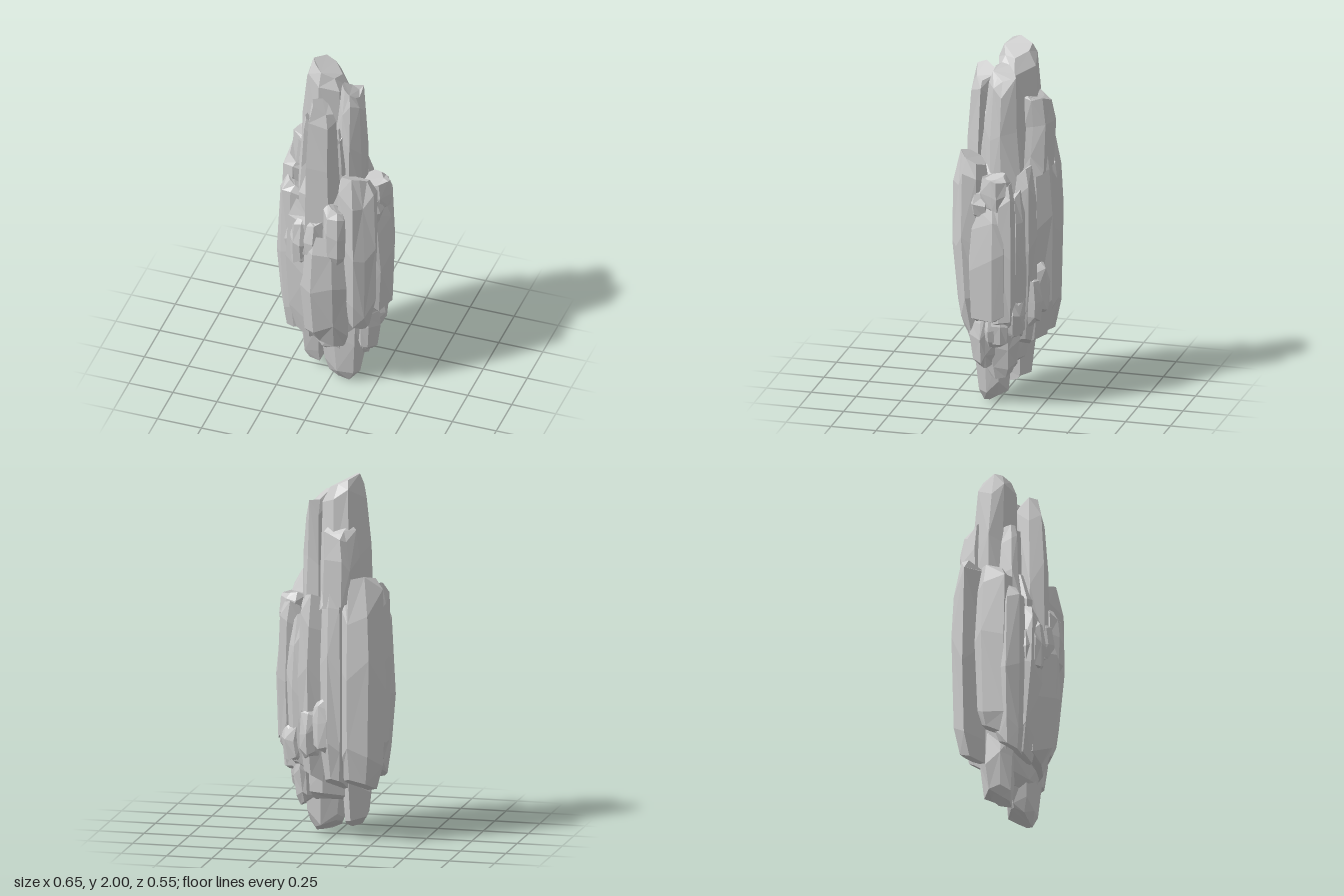
import * as THREE from 'three';

// Small seeded generator so the rock is the same every time
function seeded(seed) {
  let s = seed * 7919 + 17;
  return () => {
    s = (s * 16807) % 2147483647;
    return s / 2147483647;
  };
}

// Heights along a column, and how wide each kind of column is there
const STEPS = [0, 0.18, 0.55, 0.86, 1];
const TAPERS = {
  peak: [1.2, 1.12, 1, 0.86, 0.6],
  body: [0.72, 0.96, 1.02, 0.92, 0.66],
  foot: [0.55, 0.82, 1, 1.05, 0.95],
};

// Faceted rock column: uneven rings around (x, z) with slanted broken ends.
// kick moves the lower end along z.
function columnGeometry([x, z, rx, rz, y0, y1, kick = 0], taper, seed) {
  const rand = seeded(seed);
  for (let i = 0; i < 5; i++) rand();
  const spread = (a) => (rand() - 0.5) * 2 * a;
  const sides = 6 + (seed % 3);
  const last = STEPS.length - 1;
  const height = y1 - y0;
  const slant = Math.min(0.08, height * 0.15);
  const turn = rand() * Math.PI;
  const corners = Array.from({ length: sides }, (_, j) => ({
    a: turn + ((j + spread(0.3)) / sides) * Math.PI * 2,
    r: 1.03 + spread(0.11),
  }));
  // 0 at the chosen corner, 1 on the far side
  const fall = (a, from) => 0.5 - 0.5 * Math.cos(a - corners[from].a);
  const rings = STEPS.map((t, i) => {
    const lean = 1 - 0.35 * (t - 0.5) ** 2;
    const cx = x * lean + spread(0.05) * rx;
    const cz = z * lean + kick * (1 - t) + spread(0.05) * rz;
    return corners.map(({ a, r }) => {
      const k = r * taper[i] * (1 + spread(0.08));
      let y = y0 + height * t;
      if (i === 0) y += fall(a, 0) * slant;
      else if (i === last) y -= fall(a, 2) * slant;
      else y += spread(0.08) * height;
      return [cx + Math.cos(a) * rx * k, y, cz + Math.sin(a) * rz * k];
    });
  });
  const pos = [];
  const tri = (...pts) => pts.forEach((p) => pos.push(...p));
  for (let i = 0; i < last; i++) {
    for (let j = 0; j < sides; j++) {
      const n = (j + 1) % sides;
      const [a, b, c, d] = [rings[i][j], rings[i + 1][j], rings[i + 1][n], rings[i][n]];
      if ((i + j) % 2) { tri(a, b, d); tri(b, c, d); } else { tri(a, b, c); tri(a, c, d); }
    }
  }
  // broken end faces, fanned from one corner
  for (let j = 1; j < sides - 1; j++) {
    tri(rings[0][0], rings[0][j], rings[0][j + 1]);
    tri(rings[last][0], rings[last][j + 1], rings[last][j]);
  }
  const g = new THREE.BufferGeometry();
  g.setAttribute('position', new THREE.Float32BufferAttribute(pos, 3));
  g.computeVertexNormals();
  return g;
}

// Each part: x, z, half width, half depth, bottom, top, kick
const PEAKS = {
  upperCore: [-0.01, 0, 0.135, 0.14, 1.05, 1.72],
  mainPeak: [-0.07, -0.06, 0.125, 0.13, 1.05, 2],
  rightPeak: [0.085, -0.02, 0.08, 0.1, 1.1, 1.9],
  frontSpire: [-0.035, 0.125, 0.088, 0.095, 0.85, 1.86],
  leftSliver: [-0.14, 0, 0.055, 0.1, 1.05, 1.68],
  backSpur: [-0.06, -0.17, 0.095, 0.085, 1.25, 1.76],
};
const BODY = {
  core: [0, -0.01, 0.24, 0.2, 0.27, 1.4],
  frontFace: [-0.01, 0.18, 0.13, 0.105, 0.25, 1.03, -0.06],
  frontRightColumn: [0.165, 0.14, 0.11, 0.1, 0.4, 1.43, -0.03],
  rightColumn: [0.24, 0.02, 0.075, 0.12, 0.44, 1.18],
  rightBackColumn: [0.24, -0.07, 0.07, 0.075, 0.4, 1.29],
  rightBlock: [0.23, -0.02, 0.07, 0.08, 1.1, 1.33],
  backRightColumn: [0.1, -0.14, 0.09, 0.075, 0.3, 1.35],
  backRightSliver: [0.18, -0.12, 0.06, 0.055, 0.34, 1.24],
  backColumn: [-0.05, -0.18, 0.085, 0.085, 0.27, 1.5],
  backLeftColumn: [-0.175, -0.18, 0.125, 0.105, 0.27, 1.47],
  leftColumn: [-0.235, -0.03, 0.078, 0.11, 0.4, 1.41],
  leftFrontColumn: [-0.215, 0.06, 0.08, 0.085, 0.3, 1.28],
  frontLeftColumn: [-0.135, 0.14, 0.095, 0.095, 0.28, 1.18, -0.05],
};
const FEET = {
  footCore: [0, -0.02, 0.2, 0.15, 0.16, 0.55],
  mainFoot: [0.055, 0.03, 0.13, 0.1, 0, 0.5],
  leftFoot: [-0.13, -0.04, 0.085, 0.1, 0.04, 0.5],
  rightFoot: [0.16, -0.04, 0.07, 0.1, 0.15, 0.52],
  rightSkirt: [0.2, 0.05, 0.07, 0.08, 0.22, 0.55],
};

export function createModel() {
  const model = new THREE.Group();
  model.name = 'rockSpire';
  const material = new THREE.MeshStandardMaterial({ color: 0xcccccc, flatShading: true });
  let seed = 3;
  const add = (name, size, taper) => {
    const mesh = new THREE.Mesh(columnGeometry(size, taper, seed++), material);
    mesh.name = name;
    model.add(mesh);
  };

  for (const [name, size] of Object.entries(PEAKS)) add(name, size, TAPERS.peak);
  for (const [name, size] of Object.entries(BODY)) add(name, size, TAPERS.body);
  for (const [name, size] of Object.entries(FEET)) add(name, size, TAPERS.foot);

  // loose shards wedged between the columns, winding around the body
  for (let i = 0; i < 16; i++) {
    const a = i * 2.4;
    const y = 0.45 + ((i * 0.618) % 1) * 0.75;
    const half = 0.1 + (i % 4) * 0.03;
    const w = 0.05 + (i % 3) * 0.008;
    add(`shard${i + 1}`, [Math.cos(a) * 0.235, Math.sin(a) * 0.2, w, w, y - half, y + half], TAPERS.body);
  }
  return model;
}
